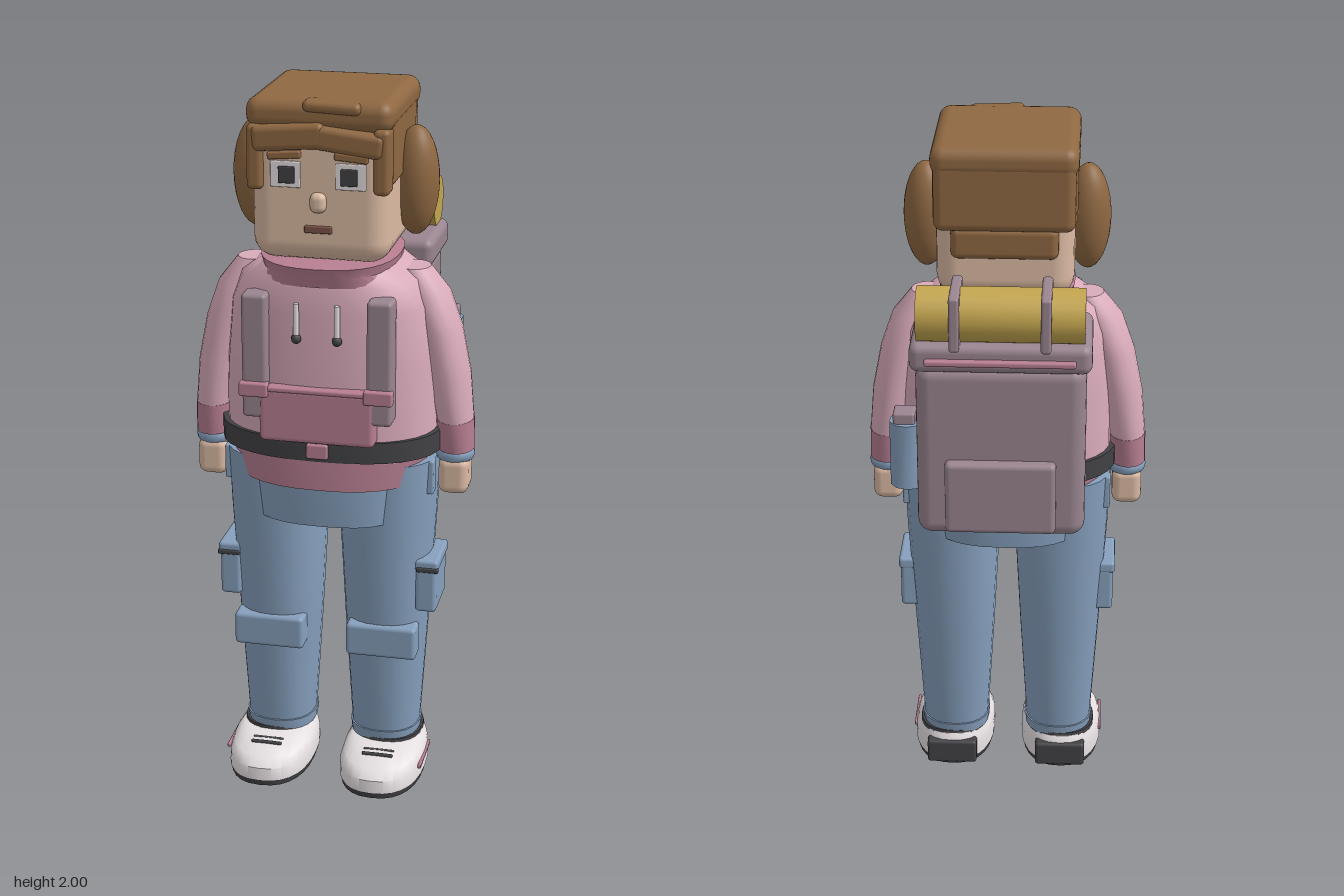
import * as THREE from 'three';
import { toCreasedNormals } from 'three/addons/utils/BufferGeometryUtils.js';
import { RoundedBoxGeometry } from 'three/addons/geometries/RoundedBoxGeometry.js';

const mat = (name, color) => Object.assign(new THREE.MeshStandardMaterial({ color }), { name });

export function createModel() {
  const root = new THREE.Group();
  root.name = 'backpacker';
  const M = {
    skin: mat('skin', 0xdcbba4), hair: mat('hair', 0x8f6842), pink: mat('hoodiePink', 0xdaacbb),
    rose: mat('darkRose', 0xb87f92), mauve: mat('packMauve', 0x9a8590), denim: mat('denim', 0x86a0bd),
    dark: mat('charcoal', 0x424246), white: mat('offWhite', 0xe6e0e2), yellow: mat('rollYellow', 0xc4a650),
    lip: mat('lipBrown', 0x7a5348),
  };

  const add = (name, geo, m, x = 0, y = 0, z = 0, rz = 0, rx = 0) => {
    const mesh = new THREE.Mesh(geo, m);
    mesh.name = name;
    mesh.position.set(x, y, z);
    mesh.rotation.set(rx, 0, rz);
    root.add(mesh);
    return mesh;
  };

  // Rounded box given by its extents
  const box = (name, m, x0, x1, y0, y1, z0, z1, r = 0.01, rz = 0, rx = 0) => {
    const w = x1 - x0, h = y1 - y0, d = z1 - z0;
    const geo = new RoundedBoxGeometry(w, h, d, 3, Math.min(r, w * 0.49, h * 0.49, d * 0.49));
    return add(name, geo, m, (x0 + x1) / 2, (y0 + y1) / 2, (z0 + z1) / 2, rz, rx);
  };

  // Same box on the s side of the body, x measured outward
  const sideBox = (s, name, m, x0, x1, ...rest) =>
    box(name, m, Math.min(s * x0, s * x1), Math.max(s * x0, s * x1), ...rest);

  // Closed loft through superellipse rings [y, cx, cz, rx, rz], bottom to top
  const loft = (name, m, rings, power = 2, n = 24) => {
    const first = rings[0], last = rings[rings.length - 1];
    const all = [[...first.slice(0, 3), 0, 0], ...rings, [...last.slice(0, 3), 0, 0]];
    const pos = [], idx = [];
    const bend = (v) => Math.sign(v) * Math.abs(v) ** (2 / power);
    for (const [y, cx, cz, rx, rz] of all) {
      for (let j = 0; j < n; j++) {
        const a = (j / n) * Math.PI * 2;
        pos.push(cx + rx * bend(Math.cos(a)), y, cz + rz * bend(Math.sin(a)));
      }
    }
    for (let i = 0; i < all.length - 1; i++) {
      for (let j = 0; j < n; j++) {
        const a = i * n + j, b = i * n + (j + 1) % n;
        if (i < all.length - 2) idx.push(a, a + n, b + n);
        if (i > 0) idx.push(a, b + n, b);
      }
    }
    const geo = new THREE.BufferGeometry();
    geo.setAttribute('position', new THREE.Float32BufferAttribute(pos, 3));
    geo.setIndex(idx);
    return add(name, toCreasedNormals(geo, 0.7), m);
  };

  // Head and face
  box('head', M.skin, -0.188, 0.188, 1.56, 1.94, -0.088, 0.288, 0.06);
  loft('neck', M.skin, [[1.48, 0, 0.1, 0.11, 0.11], [1.6, 0, 0.1, 0.11, 0.11]]);
  box('nose', M.skin, -0.022, 0.022, 1.7, 1.755, 0.27, 0.308, 0.02);
  box('mouth', M.lip, -0.037, 0.037, 1.645, 1.665, 0.285, 0.296, 0.004);
  for (const s of [-1, 1]) {
    sideBox(s, 'eyeWhite', M.white, 0.047, 0.128, 1.765, 1.835, 0.285, 0.293, 0.003);
    sideBox(s, 'pupil', M.dark, 0.062, 0.106, 1.777, 1.822, 0.291, 0.299, 0.003);
    sideBox(s, 'eyebrow', M.hair, 0.045, 0.135, 1.842, 1.862, 0.285, 0.302, 0.005, s * -0.08);
  }

  // Hair
  box('hairTop', M.hair, -0.198, 0.198, 1.915, 1.998, -0.124, 0.295, 0.035);
  box('hairBack', M.hair, -0.19, 0.19, 1.765, 1.96, -0.122, -0.02, 0.025);
  box('hairNape', M.hair, -0.145, 0.145, 1.685, 1.775, -0.112, -0.04, 0.02);
  box('fringeRight', M.hair, -0.178, 0.02, 1.865, 1.935, 0.25, 0.31, 0.018, 0.08);
  box('fringeLeft', M.hair, -0.01, 0.178, 1.86, 1.925, 0.25, 0.31, 0.018, -0.12);
  box('fringeTuft', M.hair, -0.04, 0.115, 1.965, 1.997, 0.24, 0.305, 0.015, -0.04);
  for (const s of [-1, 1]) {
    sideBox(s, 'hairSide', M.hair, 0.14, 0.195, 1.77, 1.958, -0.065, 0.24, 0.015);
    sideBox(s, 'frontLock', M.hair, 0.148, 0.192, 1.755, 1.93, 0.235, 0.303, 0.015);
    add('hairPuff', new THREE.SphereGeometry(1, 24, 16), M.hair, s * 0.222, 1.75, 0.077).scale.set(0.063, 0.15, 0.065);
  }

  // Hoodie, belt and hem
  loft('torso', M.pink, [
    [1, 0, 0.1, 0.3, 0.205], [1.25, 0, 0.1, 0.295, 0.208], [1.42, 0, 0.1, 0.28, 0.208],
    [1.495, 0, 0.1, 0.25, 0.205], [1.54, 0, 0.1, 0.185, 0.195],
  ], 2.4, 32);
  loft('collar', M.rose, [
    [1.5, 0, 0.1, 0.215, 0.208], [1.53, 0, 0.105, 0.185, 0.212], [1.557, 0, 0.107, 0.19, 0.224], [1.56, 0, 0.105, 0.165, 0.2],
  ], 2.4, 32);
  loft('belt', M.dark, [[1.005, 0, 0.1, 0.314, 0.212], [1.065, 0, 0.1, 0.314, 0.212]], 2.4, 32);
  loft('hem', M.rose, [[0.92, 0, 0.1, 0.265, 0.212], [1.005, 0, 0.1, 0.285, 0.21]], 2.4, 32);
  box('buckle', M.rose, -0.03, 0.03, 1.015, 1.058, 0.3, 0.322, 0.006);
  box('pouch', M.rose, -0.16, 0.16, 1.06, 1.215, 0.26, 0.328, 0.015);
  box('chestBand', M.rose, -0.21, 0.21, 1.205, 1.22, 0.295, 0.333, 0.006);
  for (const s of [-1, 1]) {
    sideBox(s, 'shoulderStrap', M.mauve, 0.137, 0.207, 1.125, 1.475, 0.255, 0.325, 0.012);
    sideBox(s, 'strapClip', M.rose, 0.132, 0.212, 1.19, 1.23, 0.31, 0.342, 0.006);
    add('drawstring', new THREE.CylinderGeometry(0.008, 0.008, 0.1, 8), M.white, s * 0.056, 1.405, 0.315);
    add('drawstringTip', new THREE.SphereGeometry(0.014, 10, 8), M.dark, s * 0.056, 1.357, 0.315);
  }

  // Arms
  for (const s of [-1, 1]) {
    loft('sleeve', M.pink, [
      [1.09, s * 0.345, 0.1, 0.052, 0.073], [1.22, s * 0.327, 0.1, 0.059, 0.081], [1.35, s * 0.3, 0.1, 0.06, 0.083],
      [1.45, s * 0.265, 0.1, 0.06, 0.075], [1.52, s * 0.225, 0.1, 0.045, 0.05],
    ].map((r) => r), 2, 20);
    loft('sleeveCuff', M.rose, [[1.0, s * 0.35, 0.1, 0.05, 0.064], [1.09, s * 0.345, 0.1, 0.053, 0.074]], 2, 20);
    const band = add('bracelet', new THREE.TorusGeometry(0.04, 0.018, 10, 20), M.denim, s * 0.347, 0.985, 0.1, 0, Math.PI / 2);
    band.scale.set(0.95, 0.95, 1.2);
    sideBox(s, 'hand', M.skin, 0.305, 0.39, 0.872, 0.98, 0.05, 0.152, 0.025);
  }

  // Trousers and pockets
  loft('hips', M.denim, [[0.805, 0, 0.095, 0.222, 0.2], [0.94, 0, 0.095, 0.235, 0.207]], 2.6, 32);
  for (const s of [-1, 1]) {
    loft('trouserLeg', M.denim, [
      [0.12, s * 0.157, 0.098, 0.098, 0.106], [0.45, s * 0.157, 0.097, 0.118, 0.128],
      [0.8, s * 0.158, 0.095, 0.137, 0.153], [0.98, s * 0.17, 0.095, 0.132, 0.155],
    ], 2.3);
    loft('trouserHem', M.denim, [[0.1, s * 0.157, 0.098, 0.1, 0.108], [0.132, s * 0.157, 0.098, 0.103, 0.112]], 2.3);
    sideBox(s, 'cargoPocket', M.denim, 0.255, 0.315, 0.525, 0.665, 0.032, 0.2, 0.012);
    sideBox(s, 'cargoFlap', M.denim, 0.25, 0.32, 0.65, 0.685, 0.03, 0.2, 0.01);
    sideBox(s, 'flapTrim', M.dark, 0.258, 0.321, 0.65, 0.664, 0.19, 0.205, 0.004);
    sideBox(s, 'kneePatch', M.denim, 0.063, 0.265, 0.387, 0.485, 0.17, 0.24, 0.012);
    for (const z of [0.03, 0.16]) sideBox(s, 'beltLoop', M.denim, 0.25, 0.3, 0.88, 0.98, z - 0.02, z + 0.02, 0.006);
  }

  // Shoes
  for (const s of [-1, 1]) {
    const x = s * 0.165;
    loft('sole', M.dark, [[0, x, 0.167, 0.118, 0.195], [0.018, x, 0.167, 0.122, 0.198]], 2.4, 28);
    loft('shoeUpper', M.white, [
      [0.018, x, 0.167, 0.123, 0.199], [0.055, x, 0.166, 0.122, 0.197], [0.08, x, 0.155, 0.115, 0.182], [0.1, x, 0.11, 0.1, 0.125],
    ], 2.4, 28);
    loft('ankleOpening', M.dark, [[0.095, x, 0.098, 0.102, 0.112], [0.108, x, 0.098, 0.1, 0.11]], 2.4);
    box('heelPatch', M.dark, x - 0.075, x + 0.075, 0.005, 0.082, -0.034, 0.01, 0.01);
    sideBox(s, 'shoeStripe', M.rose, 0.28, 0.29, 0.05, 0.062, 0.1, 0.255, 0.003);
    for (const z of [0.225, 0.25, 0.275]) box('lace', M.dark, x - 0.045, x + 0.045, 0.088, 0.098, z - 0.005, z + 0.005, 0.004);
  }

  // Backpack
  box('packBody', M.mauve, -0.228, 0.228, 0.965, 1.47, -0.335, -0.085, 0.04);
  box('packLid', M.mauve, -0.242, 0.242, 1.455, 1.537, -0.347, -0.077, 0.025);
  box('packPocket', M.mauve, -0.15, 0.15, 0.99, 1.2, -0.365, -0.31, 0.015);
  box('lidTrim', M.rose, -0.2, 0.2, 1.483, 1.5, -0.364, -0.335, 0.006);

  // Bedroll with its two straps
  add('bedroll', toCreasedNormals(new THREE.CylinderGeometry(0.074, 0.074, 0.444, 20), 0.7), M.yellow, 0, 1.6, -0.279, Math.PI / 2);
  for (const x of [-0.12, 0.12]) box('rollStrap', M.mauve, x - 0.014, x + 0.014, 1.525, 1.677, -0.367, -0.192, 0.008);

  // Water bottle on the left side
  add('bottle', toCreasedNormals(new THREE.CylinderGeometry(0.05, 0.05, 0.19, 10), 0.7), M.denim, 0.258, 1.175, -0.235);
  box('bottleCap', M.mauve, 0.235, 0.295, 1.265, 1.302, -0.268, -0.205, 0.008);

  return root;
}
